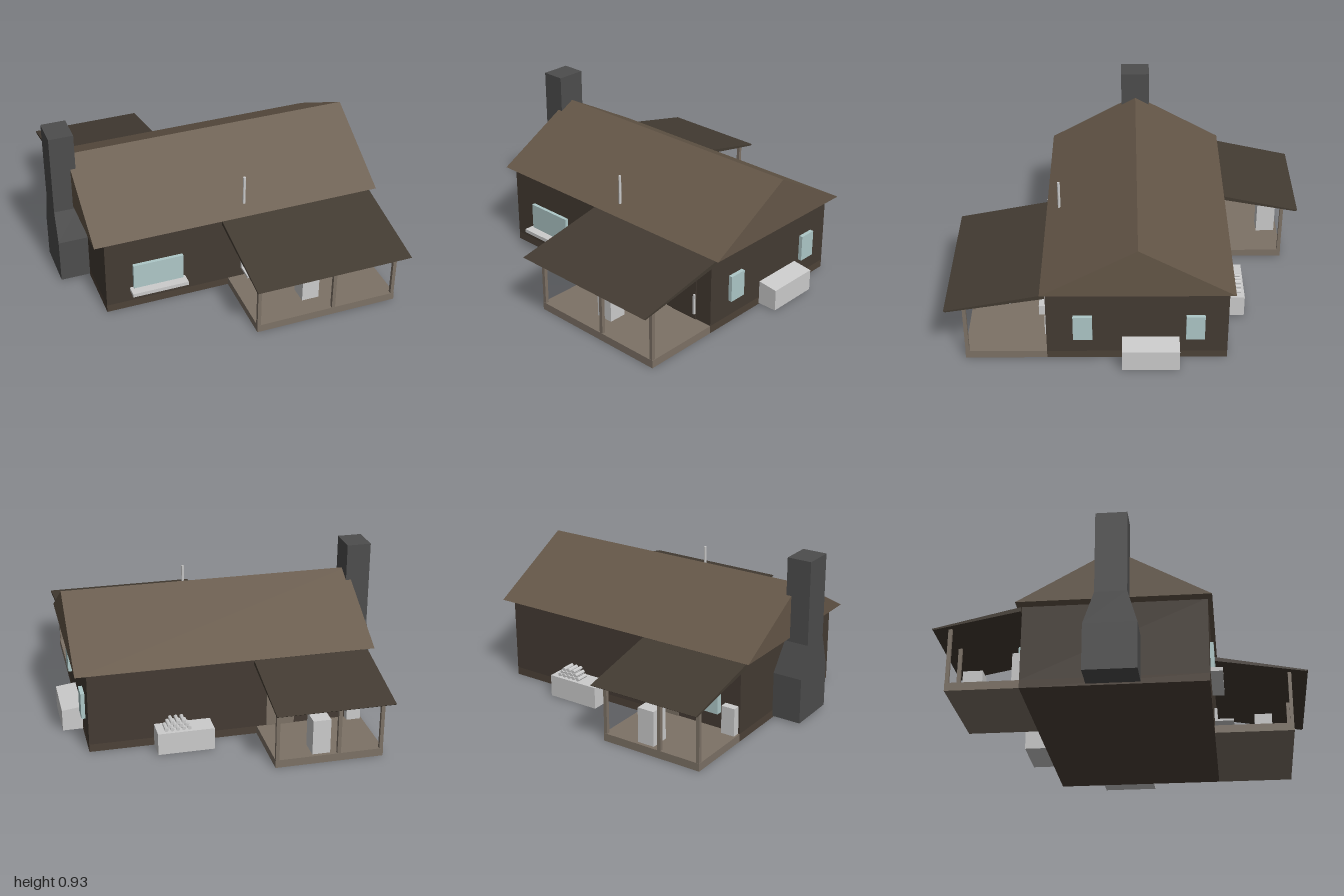
import * as THREE from 'three';

const material = (color) => new THREE.MeshStandardMaterial({ color, flatShading: true });

export function createModel() {
  const house = new THREE.Group();
  house.name = 'cabin';
  const grey = material(0xcccccc);
  const wall = material(0x443b33);
  const roofing = material(0x655748);
  const porchRoofing = material(0x433b32);
  const timber = material(0x7d7266);
  const stone = material(0x4d4d4d);
  const glass = material(0xaec8c8);

  const add = (name, geometry, mat) => {
    const mesh = new THREE.Mesh(geometry, mat);
    mesh.name = name;
    house.add(mesh);
    return mesh;
  };

  // Box given by its limits along each axis
  const box = (name, mat, [x0, x1], [y0, y1], [z0, z1]) => {
    const mesh = add(name, new THREE.BoxGeometry(x1 - x0, y1 - y0, z1 - z0), mat);
    mesh.position.set((x0 + x1) / 2, (y0 + y1) / 2, (z0 + z1) / 2);
    return mesh;
  };

  // Profile of (z, y) points extruded along x
  const prism = (name, mat, [x0, x1], points) => {
    const shape = new THREE.Shape(points.map(([z, y]) => new THREE.Vector2(z, y)));
    const geometry = new THREE.ExtrudeGeometry(shape, { depth: x1 - x0, bevelEnabled: false });
    geometry.rotateY(-Math.PI / 2).translate(x1, 0, 0);
    return add(name, geometry, mat);
  };

  // Main body
  box('foundation', material(0x4d4238), [-0.75, 0.8], [0, 0.045], [-0.527, 0.46]);
  box('walls', wall, [-0.75, 0.8], [0.045, 0.475], [-0.527, 0.46]);
  prism('gableRoof', roofing, [-0.81, 0.865], [[-0.555, 0.47], [0.485, 0.47], [-0.035, 0.76]]);

  // Chimney: wide foot, tapered shoulder, narrow stack
  const levels = [
    { y: 0.01, x1: -0.75, z0: -0.18, z1: 0.105 },
    { y: 0.27, x1: -0.75, z0: -0.18, z1: 0.105 },
    { y: 0.45, x1: -0.78, z0: -0.12, z1: 0.052 },
    { y: 0.925, x1: -0.78, z0: -0.12, z1: 0.052 },
  ];
  const stack = new THREE.BoxGeometry(1, 3, 1, 1, 3, 1);
  const p = stack.attributes.position;
  for (let i = 0; i < p.count; i++) {
    const level = levels[Math.round(p.getY(i) + 1.5)];
    p.setXYZ(i, p.getX(i) > 0 ? level.x1 : -0.92, level.y, p.getZ(i) > 0 ? level.z1 : level.z0);
  }
  stack.computeVertexNormals();
  add('chimney', stack, stone);

  // Porches: floor, sloping roof and three posts each
  const porch = (name, floorX, roofX, wallZ, edgeZ, tipZ, postXs) => {
    const s = Math.sign(edgeZ);
    box(name + 'Floor', timber, floorX, [0, 0.045], [Math.min(wallZ, edgeZ), Math.max(wallZ, edgeZ)]);
    const profile = [[wallZ, 0.43], [tipZ - s * 0.01, 0.342], [tipZ, 0.349], [wallZ, 0.455]];
    prism(name + 'Roof', porchRoofing, roofX, s > 0 ? profile : profile.reverse());
    const z = edgeZ - s * 0.011;
    for (const x of postXs) {
      box(name + 'Post', timber, [x - 0.01, x + 0.01], [0.045, 0.36], [z - 0.01, z + 0.01]);
    }
  };
  porch('frontPorch', [-0.03, 0.8], [-0.07, 0.833], 0.46, 0.907, 1, [-0.02, 0.425, 0.788]);
  porch('backPorch', [-0.75, -0.145], [-0.78, -0.125], -0.527, -0.92, -1, [-0.739, -0.5, -0.156]);

  // Windows and doors
  const windowY = [0.14, 0.293];
  box('frontWindow', glass, [-0.595, -0.305], windowY, [0.45, 0.48]);
  box('frontWindowSill', grey, [-0.615, -0.29], [0.115, 0.137], [0.45, 0.525]);
  box('sideWindow', glass, [0.79, 0.822], windowY, [0.21, 0.315]);
  box('sideWindow', glass, [0.79, 0.822], windowY, [-0.4, -0.298]);
  box('backWindow', glass, [-0.63, -0.52], windowY, [-0.56, -0.52]);
  box('frontDoor', wall, [0.525, 0.698], [0.045, 0.285], [0.45, 0.465]);
  box('backDoor', timber, [-0.36, -0.2], [0.045, 0.285], [-0.532, -0.52]);
  box('frontDoorHandle', grey, [0.686, 0.697], [0.08, 0.2], [0.46, 0.475]);

  // Vent pipe on the front slope
  const vent = add('ventPipe', new THREE.CylinderGeometry(0.008, 0.008, 0.175, 10), grey);
  vent.position.set(0.08, 0.5925, 0.41);

  // Front porch furniture
  box('benchBack', grey, [0.045, 0.335], [0.11, 0.182], [0.455, 0.476]);
  box('benchSeat', grey, [0.045, 0.335], [0.102, 0.115], [0.455, 0.57]);
  box('porchCrate', grey, [0.3, 0.48], [0.045, 0.105], [0.455, 0.522]);
  box('frontCabinet', grey, [0.285, 0.385], [0.045, 0.235], [0.69, 0.793]);

  // Back porch furniture
  box('backCabinet', grey, [-0.455, -0.355], [0.045, 0.245], [-0.9, -0.79]);
  box('wallCabinet', grey, [-0.74, -0.66], [0.045, 0.205], [-0.57, -0.52]);

  // Side bin with a sloping lid
  const bin = box('sideBin', grey, [0.8, 0.915], [0.006, 0.145], [-0.263, 0.05]);
  const b = bin.geometry.attributes.position;
  for (let i = 0; i < b.count; i++) {
    if (b.getX(i) > 0 && b.getY(i) > 0) b.setY(i, b.getY(i) - 0.015);
  }
  bin.geometry.computeVertexNormals();

  // Wood box with a pyramid of logs
  box('woodBox', grey, [0.125, 0.44], [0.003, 0.13], [-0.65, -0.52]);
  for (let row = 0; row < 3; row++) {
    const count = 5 - row;
    for (let i = 0; i < count; i++) {
      const log = add('log', new THREE.CylinderGeometry(0.011, 0.011, 0.075, 8), grey);
      log.rotation.x = Math.PI / 2;
      log.position.set(0.325 + (i - (count - 1) / 2) * 0.032, 0.14 + row * 0.02, -0.595);
    }
  }
  return house;
}
